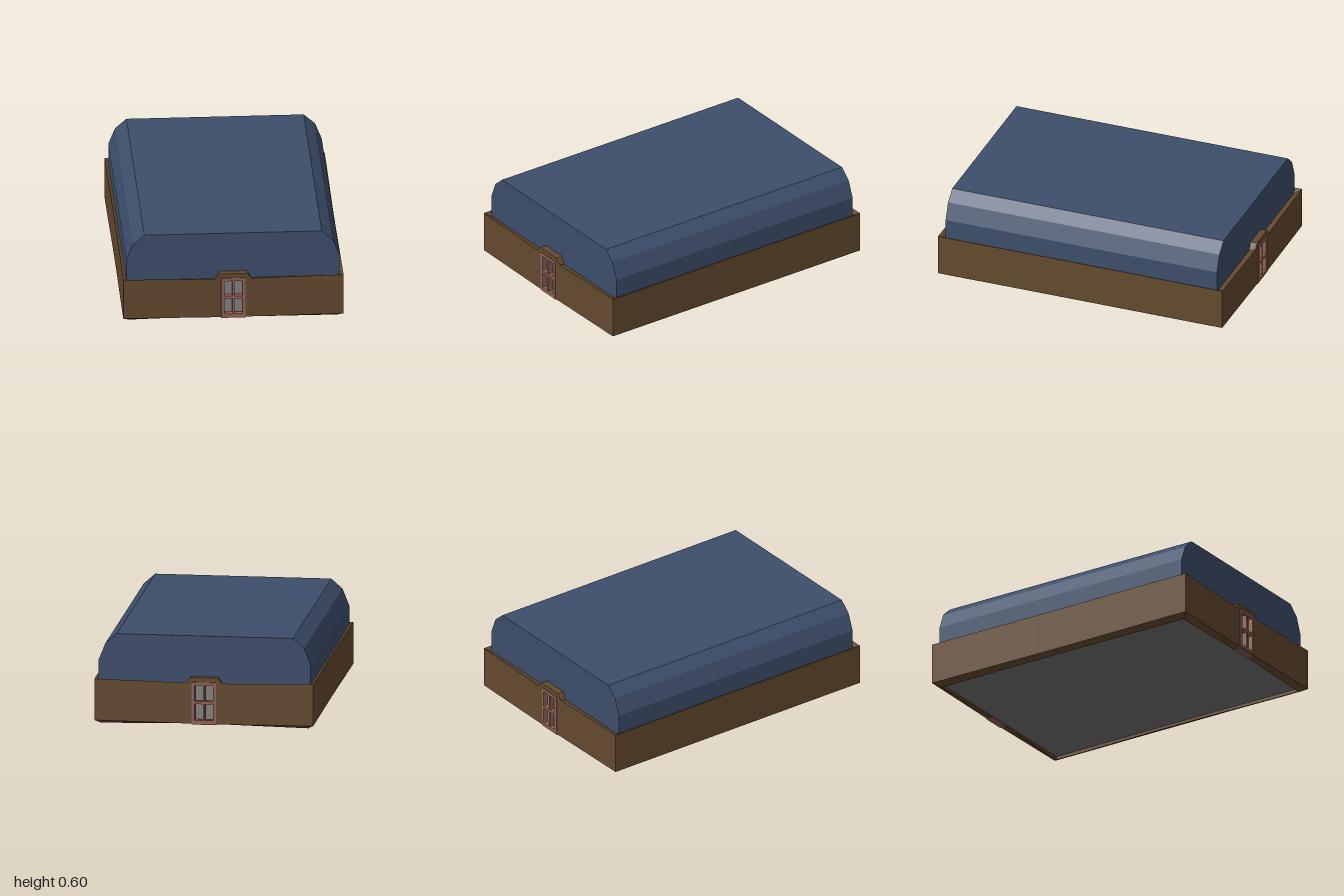
import * as THREE from 'three';

const mat = (color) => new THREE.MeshStandardMaterial({ color, flatShading: true });
const brown = mat(0x644a2e);
const blue = mat(0x3d4e6b);
const wood = mat(0x916154);
const darkWood = mat(0x5a3a34);
const glass = mat(0x828282);
const grey = mat(0x737373);

function addMesh(parent, name, geometry, material) {
  const mesh = new THREE.Mesh(geometry, material);
  mesh.name = name;
  parent.add(mesh);
  return mesh;
}

function addBox(parent, name, material, [x0, x1], [y0, y1], [z0, z1]) {
  const box = addMesh(parent, name, new THREE.BoxGeometry(x1 - x0, y1 - y0, z1 - z0), material);
  box.position.set((x0 + x1) / 2, (y0 + y1) / 2, (z0 + z1) / 2);
}

// Half of the wall ring: a chamfered section swept from door to door
function wallGeometry() {
  // x, z, inset direction x and z, top height, lift of the lower edge, inward drop of the ledge
  const front = [
    [0.08, 0.995, 0, 1, 0.325, 0.012, 0],
    [0.09, 0.995, 0, 1, 0.325, 0.012, 0],
    [0.12, 0.995, 0, 1, 0.29, 0.011, 0.015],
    [0.72, 0.995, 1, 1, 0.3, 0, 0.026],
    [0.72, 0.78, 1, 0, 0.3, 0, 0.026],
    [0.717, 0.18, 1, 0, 0.3, 0.004, 0.026],
  ];
  const back = front.map(([x, z, dx, dz, ...heights]) => [x, -z, dx, -dz, ...heights]).reverse();
  const rings = [...front, ...back].map(([x, z, dx, dz, top, lift, drop]) => {
    const low = 0.024 - lift * 0.5;
    const section = [[0, top], [0, low], [0.038, lift], [0.047, lift], [0.047, top - drop]];
    return section.map(([d, y]) => [x - dx * d, y, z - dz * d]);
  });
  const positions = [];
  const n = rings[0].length;
  for (let i = 0; i < rings.length - 1; i++) {
    for (let j = 0; j < n; j++) {
      const k = (j + 1) % n;
      const a = rings[i][j], b = rings[i][k], c = rings[i + 1][k], d = rings[i + 1][j];
      positions.push(...a, ...b, ...c, ...a, ...c, ...d);
    }
  }
  // End caps form the door jambs
  const first = rings[0], last = rings[rings.length - 1];
  for (let j = 1; j < n - 1; j++) {
    positions.push(...first[0], ...first[j + 1], ...first[j]);
    positions.push(...last[0], ...last[j], ...last[j + 1]);
  }
  const geometry = new THREE.BufferGeometry();
  geometry.setAttribute('position', new THREE.Float32BufferAttribute(positions, 3));
  geometry.computeVertexNormals();
  return geometry;
}

// Roof profile with bevelled shoulders, extruded along z
function roofGeometry() {
  const half = [[0.698, 0.25], [0.698, 0.42], [0.654, 0.53], [0.58, 0.595]];
  const mirrored = half.map(([x, y]) => [-x, y]).reverse();
  const shape = new THREE.Shape([...half, ...mirrored].map(([x, y]) => new THREE.Vector2(x, y)));
  const geometry = new THREE.ExtrudeGeometry(shape, { depth: 1.9, bevelEnabled: false });
  return geometry.translate(0, 0, -0.95);
}

// Four-pane door with its sill and hood
function createDoor() {
  const door = new THREE.Group();
  const depth = [0.945, 1.0];
  for (const x of [-0.07, 0.07]) addBox(door, 'doorStile', wood, [x - 0.01, x + 0.01], [0.02, 0.295], depth);
  addBox(door, 'doorBottomRail', wood, [-0.06, 0.06], [0.02, 0.042], depth);
  addBox(door, 'doorMiddleRail', wood, [-0.06, 0.06], [0.15, 0.168], depth);
  addBox(door, 'doorTopRail', wood, [-0.06, 0.06], [0.274, 0.295], depth);
  addBox(door, 'doorMullion', wood, [-0.006, 0.006], [0.042, 0.274], [0.945, 0.997]);
  addBox(door, 'doorSill', wood, [-0.08, 0.08], [0.012, 0.02], [0.945, 0.995]);
  addBox(door, 'doorBacking', darkWood, [-0.06, 0.06], [0.042, 0.274], [0.947, 0.966]);
  for (const x of [-0.033, 0.033]) {
    for (const y of [0.096, 0.221]) {
      addBox(door, 'doorPane', glass, [x - 0.023, x + 0.023], [y - 0.049, y + 0.049], [0.96, 0.97]);
    }
  }
  addBox(door, 'doorHood', brown, [-0.08, 0.08], [0.295, 0.325], [0.948, 0.995]);
  return door;
}

export function createModel() {
  const model = new THREE.Group();
  model.name = 'building';

  // Walls and doors repeat with a half turn
  const wall = wallGeometry();
  for (const [side, turn] of [['front', 0], ['back', Math.PI]]) {
    addMesh(model, turn ? 'rightWall' : 'leftWall', wall, brown).rotation.y = turn;
    const door = createDoor();
    door.name = side + 'Door';
    door.rotation.y = turn;
    model.add(door);
  }

  addMesh(model, 'roof', roofGeometry(), blue);
  addBox(model, 'floor', grey, [-0.676, 0.676], [0.022, 0.04], [-0.949, 0.949]);
  return model;
}
